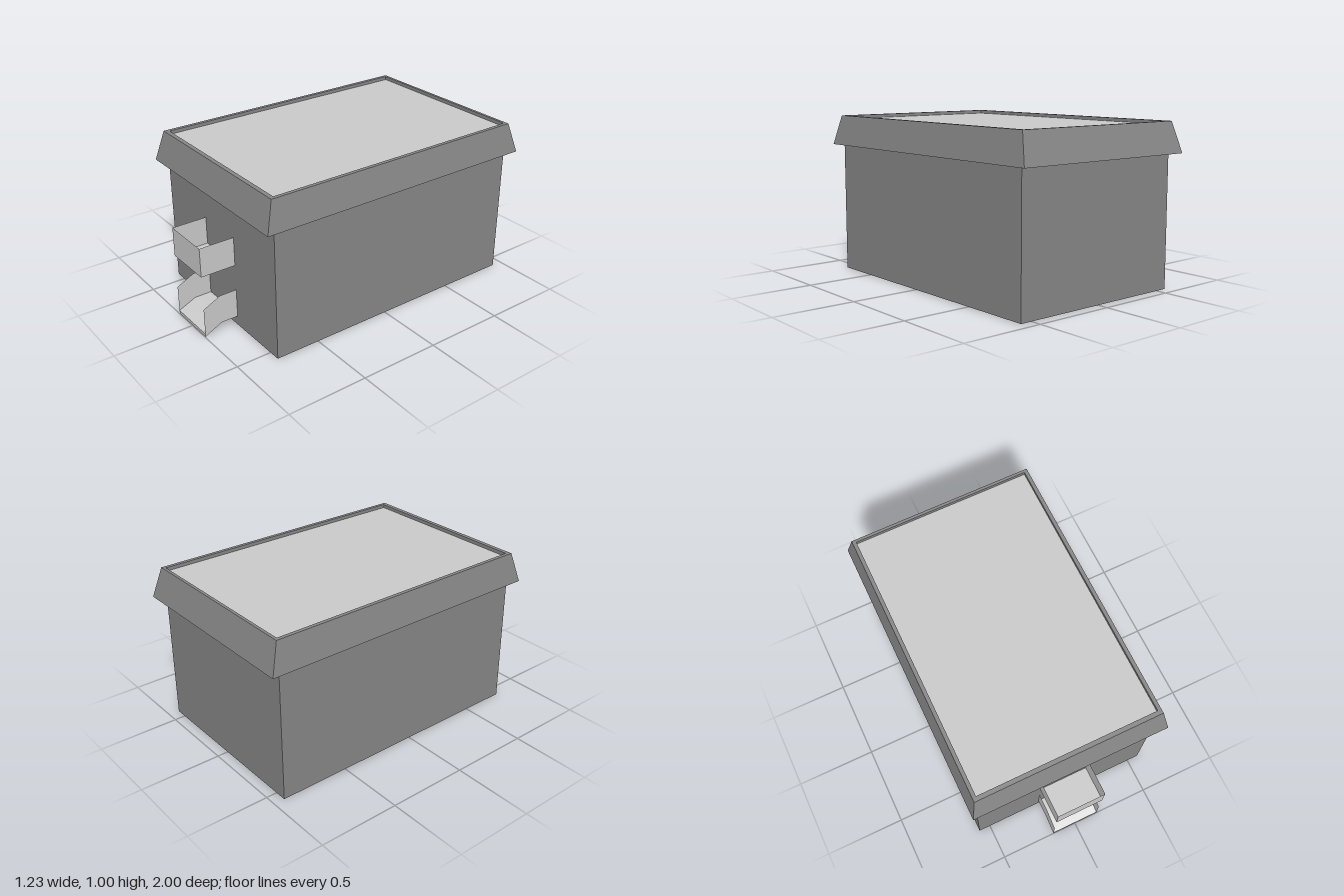
import * as THREE from 'three';
import { toCreasedNormals } from 'three/addons/utils/BufferGeometryUtils.js';

const paint = (color, flatShading = true) =>
  new THREE.MeshStandardMaterial({ color, flatShading, side: THREE.DoubleSide });
const light = paint(0xcccccc);
const lightSmooth = paint(0xcccccc, false);
const dark = paint(0x888888);

function add(group, name, geometry, material) {
  const mesh = new THREE.Mesh(geometry, material);
  mesh.name = name;
  group.add(mesh);
  return mesh;
}

// Joins rectangular rings [halfWidth, backZ, frontZ, y] with flat four-sided bands.
function rectangularLoft(rings) {
  const points = [];
  const corners = ([w, back, front, y]) => [[-w, y, front], [w, y, front], [w, y, back], [-w, y, back]];
  for (let i = 0; i < rings.length - 1; i++) {
    const low = corners(rings[i]), high = corners(rings[i + 1]);
    for (let k = 0; k < 4; k++) {
      const n = (k + 1) % 4;
      points.push(...low[k], ...low[n], ...high[n], ...low[k], ...high[n], ...high[k]);
    }
  }
  const geometry = new THREE.BufferGeometry();
  geometry.setAttribute('position', new THREE.Float32BufferAttribute(points, 3));
  geometry.computeVertexNormals();
  return geometry;
}

// Shape drawn in (z, y), turned to stand in the side plane.
const sideShape = (points) => new THREE.Shape(points.map(([z, y]) => new THREE.Vector2(-z, y)));
const halfWidth = 0.154;

function addSidePanels(group, points) {
  for (const [name, x] of [['leftPanel', halfWidth], ['rightPanel', -halfWidth]]) {
    const geometry = new THREE.ShapeGeometry(sideShape(points));
    geometry.rotateY(Math.PI / 2).translate(x, 0, 0);
    add(group, name, geometry, light);
  }
}

// Floor strip across the width, from a side profile, softly shaded over the bend.
function addFloor(group, points) {
  const geometry = new THREE.ExtrudeGeometry(sideShape(points), { depth: 2 * halfWidth, bevelEnabled: false });
  geometry.rotateY(Math.PI / 2).translate(-halfWidth, 0, 0);
  add(group, 'floor', toCreasedNormals(geometry, 0.6), lightSmooth);
}

export function createModel() {
  const model = new THREE.Group();
  const wall = 0.78;

  // Main box
  add(model, 'body', new THREE.BoxGeometry(1.146, 0.813, 1.713), dark).position.set(0, 0.4065, -0.0765);

  // Sloping eaves with flat underside, narrow rim and recess
  add(model, 'roofEaves', rectangularLoft([
    [0.573, -0.933, 0.78, 0.813],
    [0.616, -1, 0.846, 0.813],
    [0.58, -0.945, 0.795, 0.999],
    [0.557, -0.927, 0.768, 0.999],
    [0.557, -0.927, 0.768, 0.977],
  ]), dark);
  const roof = new THREE.PlaneGeometry(1.114, 1.695).rotateX(-Math.PI / 2);
  add(model, 'roofPanel', roof, light).position.set(0, 0.977, -0.0795);

  // Open-topped tray on the front wall
  const tray = new THREE.Group();
  tray.name = 'frontTray';
  addSidePanels(tray, [[wall, 0.405], [1, 0.405], [1, 0.588], [wall, 0.588]]);
  addFloor(tray, [[wall, 0.405], [0.998, 0.405], [0.998, 0.415], [wall, 0.415]]);
  add(tray, 'frontPanel', new THREE.PlaneGeometry(2 * halfWidth, 0.183), light).position.set(0, 0.4965, 1);
  model.add(tray);

  // Chute with a sloping lip near the ground
  const chute = new THREE.Group();
  chute.name = 'lowerChute';
  addSidePanels(chute, [[wall, 0.06], [0.89, 0.06], [1, 0.005], [1, 0.19], [0.89, 0.243], [wall, 0.243]]);
  addFloor(chute, [[wall, 0.06], [0.89, 0.06], [1, 0.005], [1, 0.025], [0.89, 0.075], [wall, 0.075]]);
  model.add(chute);

  return model;
}
